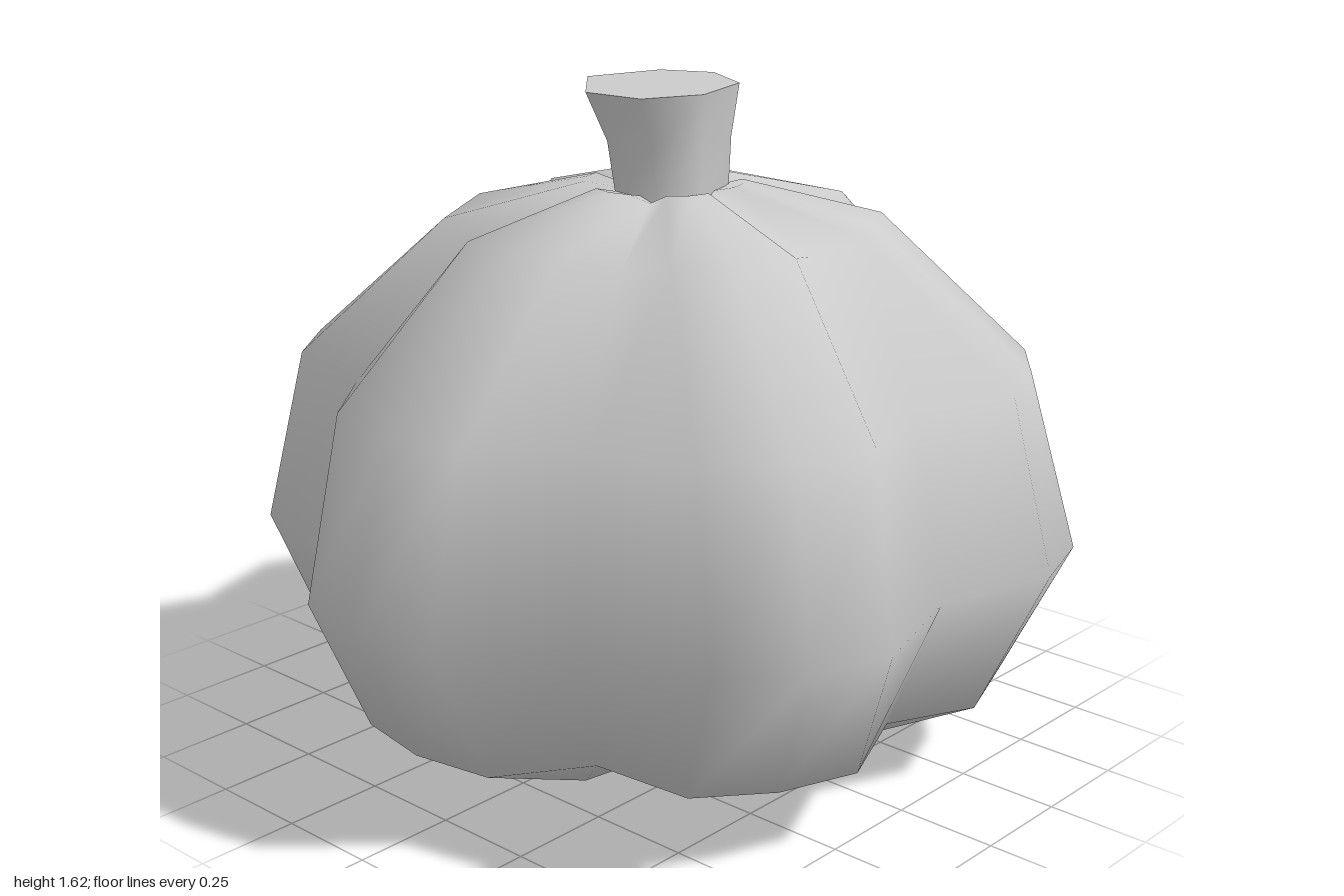
import * as THREE from 'three';
import { mergeVertices } from 'three/addons/utils/BufferGeometryUtils.js';

const LOBES = 6;

// Joins rings of [x, y, z] points, ordered bottom to top, into a smooth skin
function loft(rings) {
  const n = rings[0].length, index = [];
  for (let i = 0; i < rings.length - 1; i++) {
    for (let j = 0; j < n; j++) {
      const k = (j + 1) % n;
      const a = i * n + j, b = i * n + k, c = a + n, d = b + n;
      index.push(a, c, b, b, c, d);
    }
  }
  let geo = new THREE.BufferGeometry();
  geo.setAttribute('position', new THREE.Float32BufferAttribute(rings.flat(2), 3));
  geo.setIndex(index);
  geo = mergeVertices(geo);
  geo.computeVertexNormals();
  return geo;
}

// One lobed ring: crest, two flanks and a groove per lobe
function lobedRing({ y, crest, flank, spread, groove, grooveY }) {
  const ring = [];
  const put = (deg, r, h) => {
    const a = THREE.MathUtils.degToRad(deg);
    ring.push([r * Math.cos(a), h, r * Math.sin(a)]);
  };
  for (let l = 0; l < LOBES; l++) {
    const mid = l * 360 / LOBES;
    put(mid - spread, flank, y);
    put(mid, crest, y);
    put(mid + spread, flank, y);
    put(mid + 180 / LOBES, groove, grooveY);
  }
  return ring;
}

export function createModel() {
  const group = new THREE.Group();
  const material = new THREE.MeshStandardMaterial({ color: 0xcccccc });
  const add = (name, geometry) => {
    const mesh = new THREE.Mesh(geometry, material);
    mesh.name = name;
    group.add(mesh);
  };

  // Lobed body, from the underside to the dimple around the stem
  const profile = [
    { y: 0.005, crest: 0, flank: 0, spread: 15, groove: 0, grooveY: 0.005 },
    { y: 0.015, crest: 0.42, flank: 0.42, spread: 16, groove: 0.36, grooveY: 0.045 },
    { y: 0.20, crest: 0.83, flank: 0.82, spread: 14, groove: 0.70, grooveY: 0.21 },
    { y: 0.55, crest: 1.0, flank: 0.977, spread: 12, groove: 0.84, grooveY: 0.55 },
    { y: 0.975, crest: 0.88, flank: 0.875, spread: 13, groove: 0.75, grooveY: 0.965 },
    { y: 1.31, crest: 0.50, flank: 0.52, spread: 16, groove: 0.44, grooveY: 1.28 },
    { y: 1.395, crest: 0.19, flank: 0.185, spread: 16, groove: 0.15, grooveY: 1.37 },
    { y: 1.35, crest: 0, flank: 0, spread: 15, groove: 0, grooveY: 1.35 },
  ];
  add('body', loft(profile.map(lobedRing)));

  // Seven-sided stem flaring towards its cut top
  const outline = [
    [0.20, -0.02], [0.13, 0.12], [-0.03, 0.15], [-0.155, 0.07],
    [-0.17, -0.09], [-0.02, -0.23], [0.15, -0.15],
  ];
  const stemRing = (y, s, dz, tilt = 0) =>
    outline.map(([x, z]) => [x * s, y + x * tilt, z * s + dz]);
  const top = stemRing(1.618, 1, 0, 0.03);
  add('stem', loft([
    stemRing(1.35, 0.73, 0.03),
    stemRing(1.50, 0.81, 0.02),
    top,
  ]));

  // Flat cut face of the stem
  const centre = top.map(() => [0, 1.618, -0.03]);
  add('stemTop', loft([top, centre]));

  return group;
}
